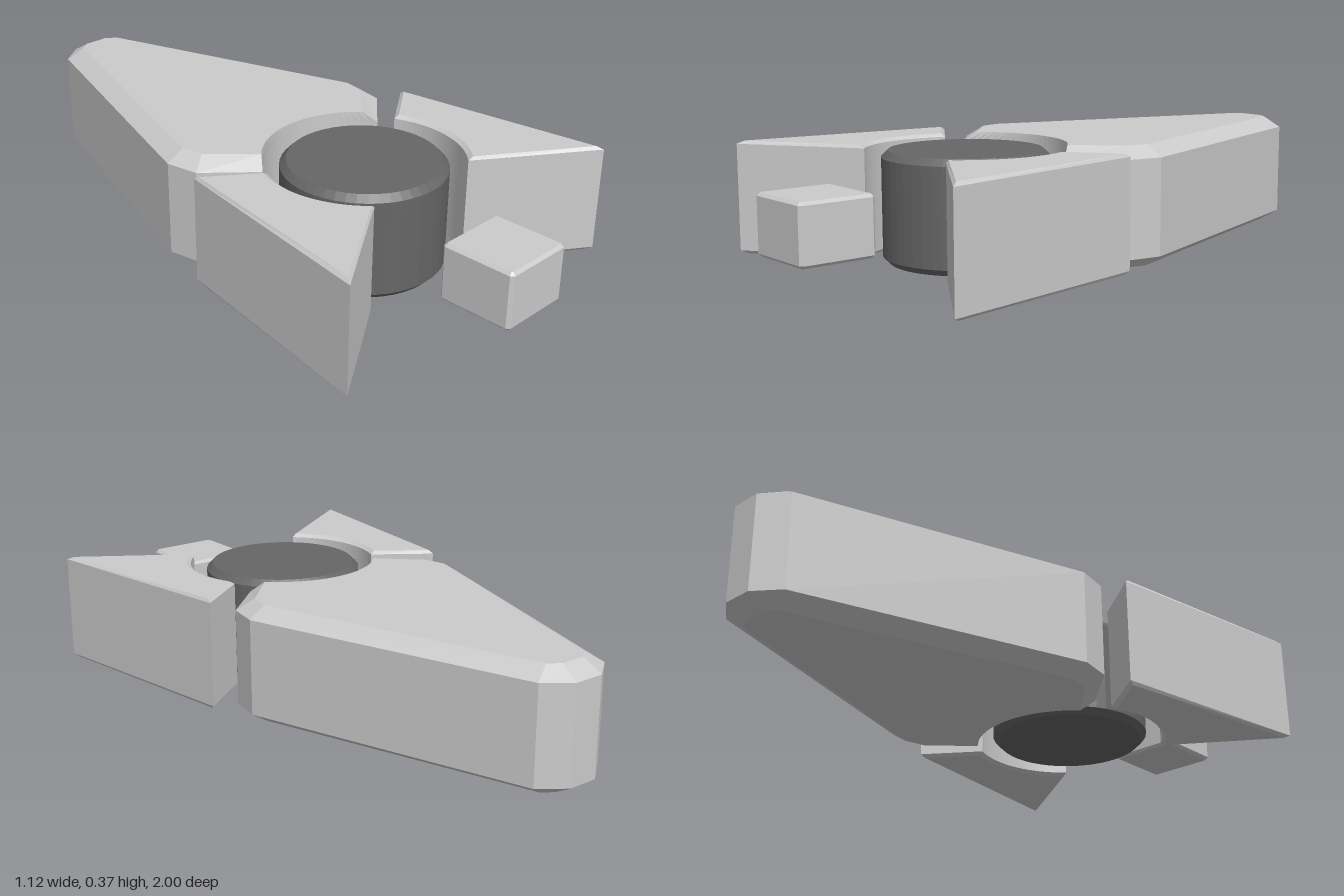
import * as THREE from 'three';

const HUB_Z = 0.36; // centre of the disc and of every curved recess
const mirror = (points) => points.map(([x, z]) => [-x, z]).reverse();

// Points on a circle round the hub; angle 0 points to the back
function hubArc(r, a0, a1, n = 24) {
  return Array.from({ length: n + 1 }, (_, i) => {
    const a = a0 + (a1 - a0) * i / n;
    return [r * Math.sin(a), HUB_Z - r * Math.cos(a)];
  });
}

// Slab with bevelled rims: loops of the rim and wall outlines, given as [x, z]
function bevelledSlab(wall, rim, y0, y1, bevel) {
  let w = wall.map(([x, z]) => new THREE.Vector2(x, -z));
  let r = rim.map(([x, z]) => new THREE.Vector2(x, -z));
  if (THREE.ShapeUtils.area(w) < 0) { w.reverse(); r.reverse(); }
  const loops = [[r, y0], [w, y0 + bevel], [w, y1 - bevel], [r, y1]];
  const pos = [];
  const put = ([loop, y], i) => pos.push(loop[i].x, y, -loop[i].y);
  for (let k = 0; k < 3; k++) {
    const lo = loops[k], hi = loops[k + 1];
    for (let i = 0; i < w.length; i++) {
      const j = (i + 1) % w.length;
      put(lo, i); put(lo, j); put(hi, j);
      put(lo, i); put(hi, j); put(hi, i);
    }
  }
  for (const [a, b, c] of THREE.ShapeUtils.triangulateShape(r, [])) {
    put(loops[3], a); put(loops[3], b); put(loops[3], c);
    put(loops[0], a); put(loops[0], c); put(loops[0], b);
  }
  const g = new THREE.BufferGeometry();
  g.setAttribute('position', new THREE.Float32BufferAttribute(pos, 3));
  g.computeVertexNormals();
  return g;
}

// Square outline with clipped corners
function clippedSquare(h, cut, cz) {
  const k = h - cut;
  return [[h, -k], [h, k], [k, h], [-k, h], [-h, k], [-h, -k], [-k, -h], [k, -h]]
    .map(([x, z]) => [x, z + cz]);
}

export function createModel() {
  const group = new THREE.Group();
  const grey = new THREE.MeshStandardMaterial({ color: 0xcccccc, flatShading: true });
  const dark = new THREE.MeshStandardMaterial({ color: 0x666666, flatShading: true });
  const add = (name, geometry, material = grey) => {
    const mesh = new THREE.Mesh(geometry, material);
    mesh.name = name;
    group.add(mesh);
  };

  // Long tapering rear body, its recess left unbevelled
  const half = [[0.048, -1], [0.127, -0.94], [0.415, -0.05], [0.395, 0.055]];
  const halfRim = [[0.04, -0.94], [0.075, -0.915], [0.36, -0.045], [0.345, 0.025]];
  const body = (side, angle) => [...side, ...hubArc(0.305, angle, -angle), ...mirror(side)];
  add('rearBody', bevelledSlab(body(half, 0.967), body(halfRim, 0.81), 0, 0.37, 0.035));

  // Pair of swept side fins
  const fin = [[0.45, 0.11], ...hubArc(0.306, 1.143, 2.4), [0.558, 0.822]];
  const finRim = [[0.446, 0.126], ...hubArc(0.32, 1.175, 2.37), [0.544, 0.802]];
  add('leftFin', bevelledSlab(fin, finRim, 0.01, 0.365, 0.01));
  add('rightFin', bevelledSlab(mirror(fin), mirror(finRim), 0.01, 0.365, 0.01));

  // Dark central disc with chamfered rims
  const profile = [[0, 0.017], [0.233, 0.017], [0.253, 0.037], [0.253, 0.336], [0.233, 0.356], [0, 0.356]]
    .map(([x, y]) => new THREE.Vector2(x, y));
  const disc = new THREE.LatheGeometry(profile, 48);
  disc.translate(0, 0, HUB_Z);
  add('centralDisc', disc, dark);

  // Small front block
  add('frontBlock', bevelledSlab(clippedSquare(0.12, 0.01, 0.88), clippedSquare(0.111, 0.004, 0.88), 0.097, 0.278, 0.009));

  return group;
}
